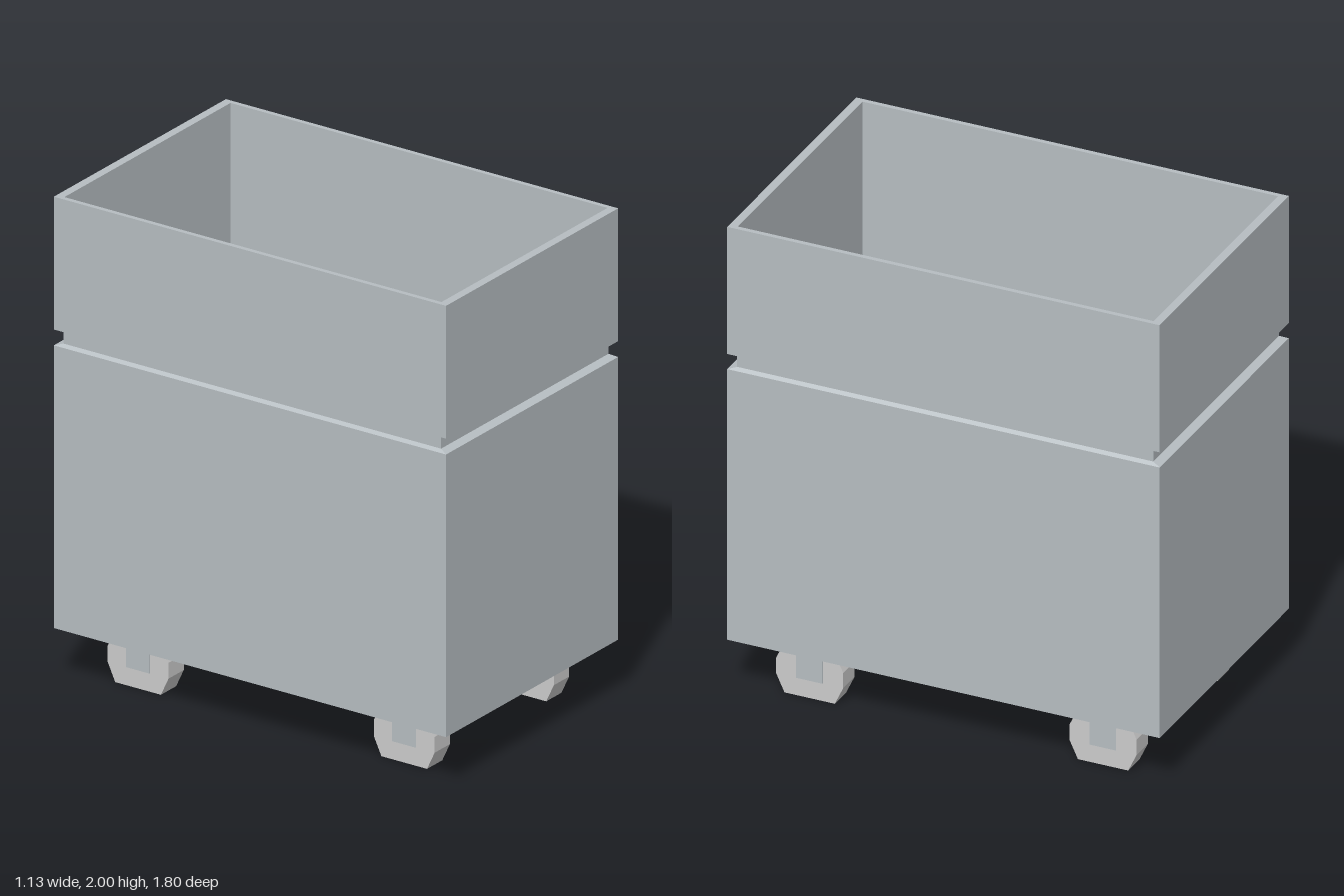
import * as THREE from 'three';

// Skin of rectangular rings [halfX, halfZ, y]; a ring of zero size closes an end.
function ringSkin(rings) {
  const pos = [];
  const corner = ([x, z, y], i) => [[x, y, z], [x, y, -z], [-x, y, -z], [-x, y, z]][i % 4];
  for (let r = 0; r < rings.length - 1; r++) {
    for (let i = 0; i < 4; i++) {
      const a = corner(rings[r], i), b = corner(rings[r], i + 1);
      const c = corner(rings[r + 1], i + 1), d = corner(rings[r + 1], i);
      if (rings[r][0] > 0) pos.push(...a, ...b, ...c);
      if (rings[r + 1][0] > 0) pos.push(...a, ...c, ...d);
    }
  }
  const geo = new THREE.BufferGeometry();
  geo.setAttribute('position', new THREE.Float32BufferAttribute(pos, 3));
  geo.computeVertexNormals();
  return geo;
}

export function createModel() {
  const model = new THREE.Group();
  model.name = 'wheeledBin';
  const binMat = new THREE.MeshStandardMaterial({ color: 0xb6bdc1, flatShading: true });
  const wheelMat = new THREE.MeshStandardMaterial({ color: 0xcccccc, flatShading: true });

  // Open box: outer wall with a groove, rim, inner wall and floor
  const body = new THREE.Mesh(ringSkin([
    [0, 0, 0.23], [0.565, 0.902, 0.23], [0.565, 0.902, 1.39],
    [0.549, 0.868, 1.4], [0.549, 0.868, 1.455], [0.565, 0.902, 1.455],
    [0.565, 0.902, 2], [0.545, 0.867, 2], [0.545, 0.867, 0.26], [0, 0, 0.26],
  ]), binMat);
  body.name = 'binBody';
  model.add(body);

  // Eight-sided caster wheel outline, extruded along x
  const outline = new THREE.Shape([
    [0.14, 0.14], [0.105, 0.215], [-0.105, 0.215], [-0.14, 0.14],
    [-0.14, 0.075], [-0.105, 0], [0.105, 0], [0.14, 0.075],
  ].map(([z, y]) => new THREE.Vector2(z, y)));
  const wheelGeo = new THREE.ExtrudeGeometry(outline, { depth: 0.1, bevelEnabled: false });
  wheelGeo.translate(0, 0, -0.05).rotateY(Math.PI / 2);
  const bracketGeo = new THREE.BoxGeometry(0.104, 0.16, 0.11).translate(0, 0.155, 0);

  for (const [zName, z] of [['front', 0.606], ['back', -0.618]]) {
    for (const [xName, x] of [['Right', -0.367], ['Left', 0.415]]) {
      const caster = new THREE.Group();
      caster.name = `${zName}${xName}Caster`;
      caster.position.set(x, 0, z);
      const wheel = new THREE.Mesh(wheelGeo, wheelMat);
      wheel.name = 'wheel';
      const bracket = new THREE.Mesh(bracketGeo, binMat);
      bracket.name = 'wheelBracket';
      caster.add(wheel, bracket);
      model.add(caster);
    }
  }
  return model;
}
